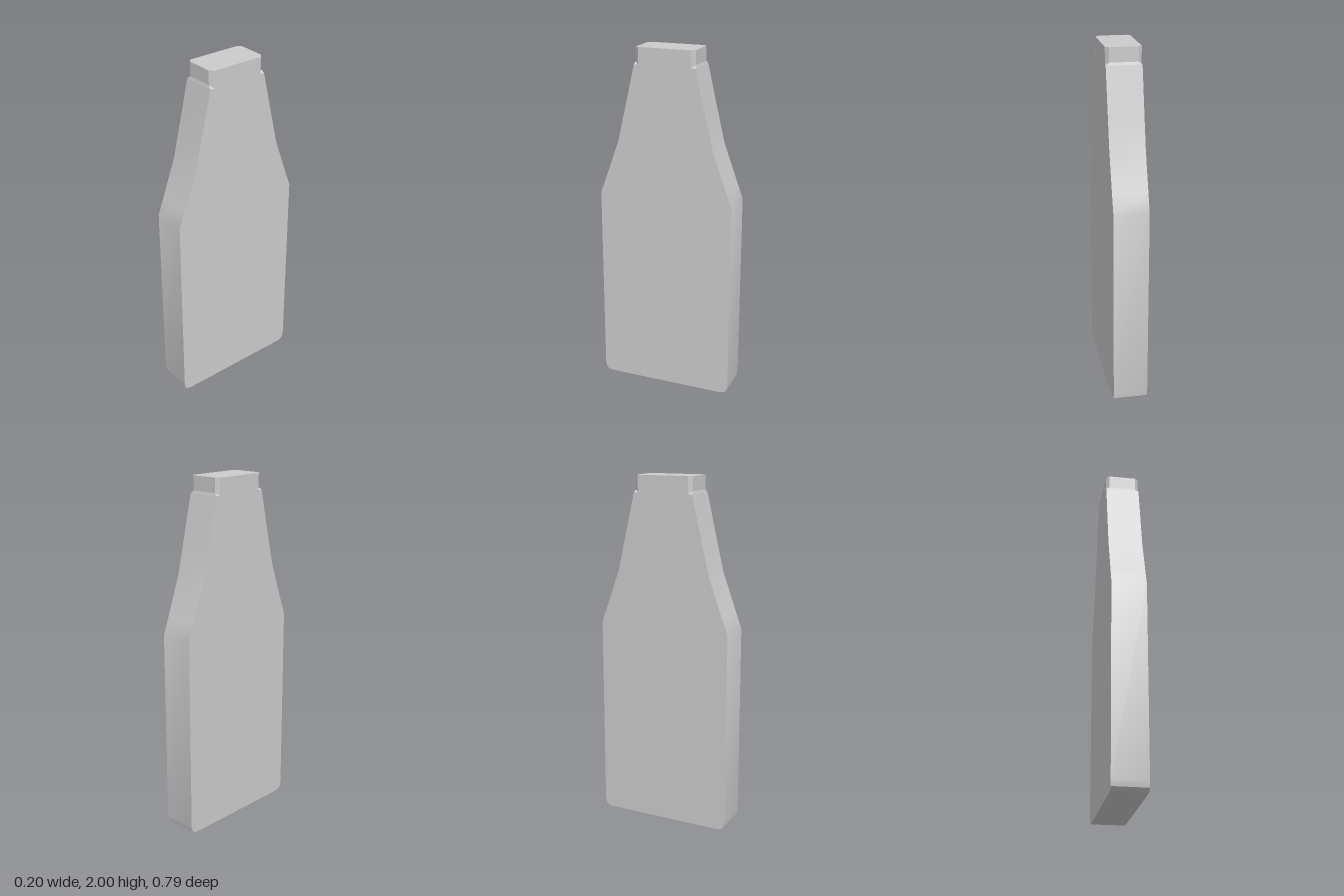
import * as THREE from 'three';
import { toCreasedNormals } from 'three/addons/utils/BufferGeometryUtils.js';

const HALF = 0.098; // half thickness along x
const material = new THREE.MeshStandardMaterial({ color: 0xcccccc });

// Flat slab with a bottle-like outline in the z-y plane
function bodyGeometry() {
  const side = [
    [0.35, 0], [0.375, 0.006], [0.39, 0.02], [0.396, 0.05], [0.396, 1.155],
    [0.36, 1.25], [0.28, 1.47], [0.235, 1.66], [0.178, 1.905],
  ];
  const outline = [...side, ...side.map(([z, y]) => [-z, y]).reverse()];
  const shape = new THREE.Shape(outline.map(([z, y]) => new THREE.Vector2(z, y)));
  const geo = new THREE.ExtrudeGeometry(shape, { depth: 2 * HALF, bevelEnabled: false });
  geo.translate(0, 0, -HALF).rotateY(-Math.PI / 2);
  return toCreasedNormals(geo, 0.6);
}

// Top block with notched corners, lofted through three eight-point sections
function neckGeometry() {
  // each section: side point [x, y, z], then end point [x, y, z] of one corner
  const sections = [
    [[HALF, 1.905, 0.153], [HALF, 1.905, 0.178]],
    [[HALF, 1.905, 0.153], [0.078, 1.92, 0.173]],
    [[HALF, 2, 0.153], [0.078, 2, 0.173]],
  ];
  const rings = sections.map(([a, b]) => {
    const at = ([x, y, z], sx, sz) => [x * sx, y, z * sz];
    return [
      at(a, 1, 1), at(b, 1, 1), at(b, -1, 1), at(a, -1, 1),
      at(a, -1, -1), at(b, -1, -1), at(b, 1, -1), at(a, 1, -1),
    ];
  });
  const pos = [];
  const tri = (...pts) => pts.forEach((p) => pos.push(...p));
  for (let r = 0; r < 2; r++) {
    for (let i = 0; i < 8; i++) {
      const j = (i + 1) % 8;
      const [lo, hi] = [rings[r], rings[r + 1]];
      if (lo[i] + '' !== hi[i] + '') tri(lo[i], hi[i], hi[j]);
      if (lo[j] + '' !== hi[j] + '') tri(lo[i], hi[j], lo[j]);
    }
  }
  // flat top
  const top = rings[2];
  for (let i = 1; i < 7; i++) tri(top[0], top[i + 1], top[i]);
  const geo = new THREE.BufferGeometry();
  geo.setAttribute('position', new THREE.Float32BufferAttribute(pos, 3));
  geo.computeVertexNormals();
  return geo;
}

export function createModel() {
  const model = new THREE.Group();
  const add = (name, geometry) => {
    const mesh = new THREE.Mesh(geometry, material);
    mesh.name = name;
    model.add(mesh);
  };
  add('body', bodyGeometry());
  add('neck', neckGeometry());
  return model;
}
